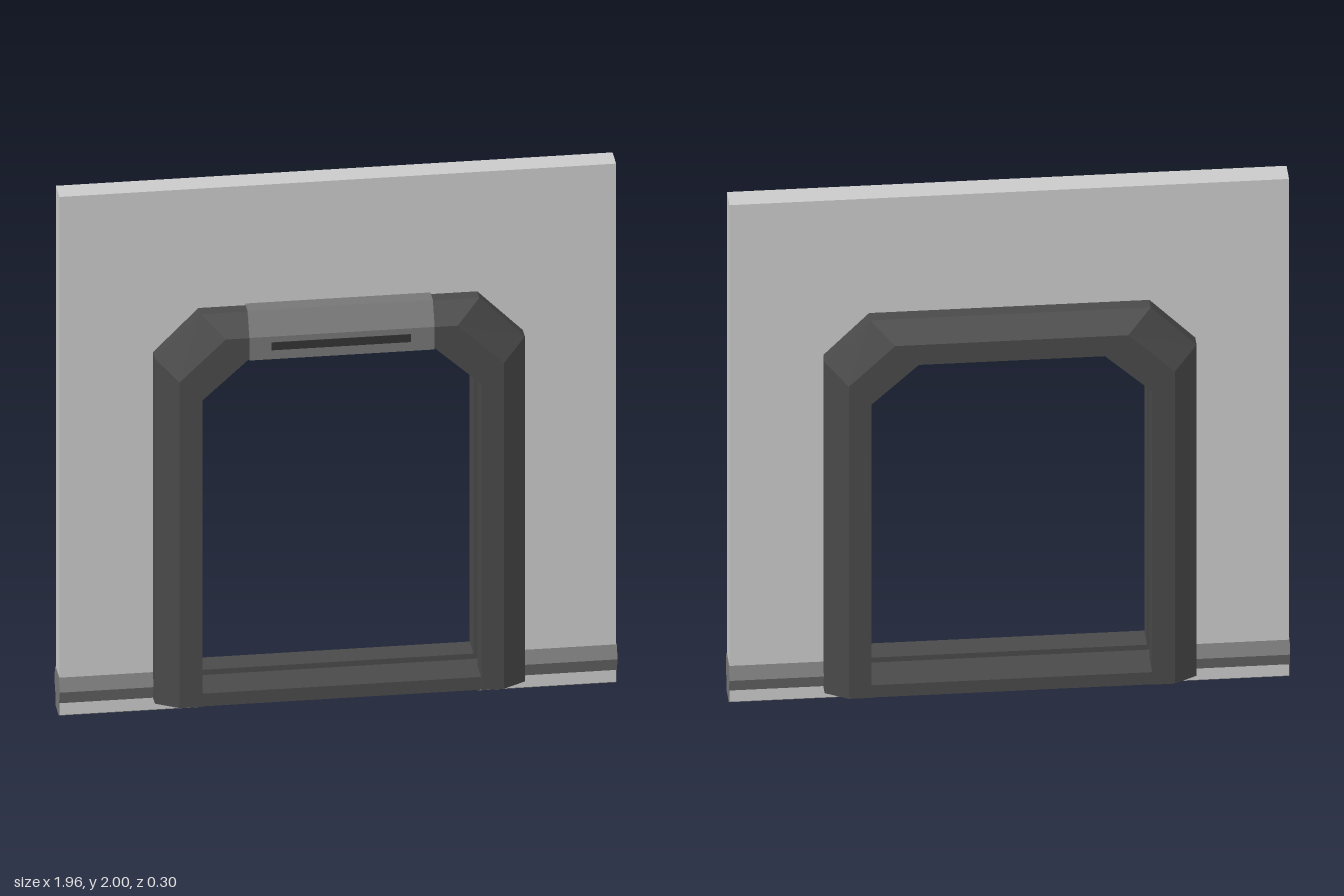
import * as THREE from 'three';

const mat = (color) => new THREE.MeshStandardMaterial({ color, flatShading: true });
const wallMat = mat(0xcccccc);
const frameMat = mat(0x4a4a4a);
const trimMat = mat(0x777777);
const slotMat = mat(0x333333);

const Z0 = -0.003; // middle of the wall's thickness

// Stations of the arch: inner and outer corner, from the left foot over the top to the right foot
const half = [
  { i: [0.49, 0.05], o: [0.65, 0.05] },
  { i: [0.49, 1.23], o: [0.65, 1.38] },
  { i: [0.325, 1.38], o: [0.49, 1.54] },
];
const mirrored = half.map(({ i, o }) => ({ i: [-i[0], i[1]], o: [-o[0], o[1]] })).reverse();
const stations = [...half, ...mirrored];

// Point on a station, t = 0 inside edge, t = 1 outside edge
const at = (s, t) => [s.i[0] + (s.o[0] - s.i[0]) * t, s.i[1] + (s.o[1] - s.i[1]) * t];

// Sweep a closed (t, z) profile through the stations
function sweepArch(profile) {
  const pos = [];
  const point = (s, [t, z]) => [...at(s, t), z + Z0];
  const tri = (a, b, c) => pos.push(...a, ...b, ...c);
  for (let k = 0; k < stations.length - 1; k++) {
    profile.forEach((p, j) => {
      const q = profile[(j + 1) % profile.length];
      const a = point(stations[k], p), b = point(stations[k + 1], p);
      const c = point(stations[k + 1], q), d = point(stations[k], q);
      tri(a, b, c);
      tri(a, c, d);
    });
  }
  const caps = THREE.ShapeUtils.triangulateShape(profile.map(([t, z]) => new THREE.Vector2(t, z)), []);
  const first = stations[0], last = stations[stations.length - 1];
  for (const [a, b, c] of caps) {
    tri(point(first, profile[a]), point(first, profile[b]), point(first, profile[c]));
    tri(point(last, profile[c]), point(last, profile[b]), point(last, profile[a]));
  }
  const geo = new THREE.BufferGeometry();
  geo.setAttribute('position', new THREE.Float32BufferAttribute(pos, 3));
  geo.computeVertexNormals();
  return geo;
}

const shapeOf = (pts) => new THREE.Shape(pts.map(([x, y]) => new THREE.Vector2(x, y)));

// Extrude a (z, y) profile along x from x0 to x1
function extrudeAlongX(pts, x0, x1) {
  const geo = new THREE.ExtrudeGeometry(shapeOf(pts.map(([z, y]) => [-z, y])), {
    depth: x1 - x0, bevelEnabled: false,
  });
  geo.rotateY(Math.PI / 2);
  geo.translate(x0, 0, 0);
  return geo;
}

export function createModel() {
  const group = new THREE.Group();
  const add = (name, geo, material) => {
    const mesh = new THREE.Mesh(geo, material);
    mesh.name = name;
    group.add(mesh);
    return mesh;
  };

  // Wall panel with the doorway cut out; its edge is buried in the frame
  const opening = stations.map((s) => at(s, 0.6));
  const wallGeo = new THREE.ExtrudeGeometry(shapeOf([
    [0.49, 0.003], [0.978, 0.003], [0.978, 2], [-0.978, 2], [-0.978, 0.003], [-0.49, 0.003],
    [-0.49, 0.055], ...opening.reverse(), [0.49, 0.055],
  ]), { depth: 0.092, bevelEnabled: false });
  wallGeo.translate(0, 0, Z0 - 0.046);
  add('wall', wallGeo, wallMat);

  // Door frame: chamfered outside, grooved inside
  add('doorFrame', sweepArch([
    [1, -0.098], [1, 0.098], [0.5, 0.146], [0, 0.146],
    [0, 0.046], [0.5, 0.046], [0.5, -0.046], [0, -0.046],
    [0, -0.146], [0.5, -0.146],
  ]), frameMat);

  // Threshold with a shallow track along its middle
  add('threshold', extrudeAlongX([
    [-0.148, 0.051], [0.142, 0.051], [0.142, 0.1], [0.043, 0.1], [0.043, 0.08],
    [-0.049, 0.08], [-0.049, 0.1], [-0.148, 0.1],
  ], -0.56, 0.56), frameMat);

  // Skirting on both sides of the doorway, with a foot below the wall
  const skirting = [
    [-0.052, 0.05], [0.046, 0.05], [0.066, 0.1], [0.043, 0.147],
    [-0.049, 0.147], [-0.072, 0.1],
  ];
  const foot = [[-0.047, 0], [0.041, 0], [0.041, 0.06], [-0.047, 0.06]];
  for (const side of [1, -1]) {
    const span = (x0, x1) => (side > 0 ? [x0, x1] : [-x1, -x0]);
    add('skirting', extrudeAlongX(skirting, ...span(0.58, 0.98)), trimMat);
    add('skirtingFoot', extrudeAlongX(foot, ...span(0.492, 0.98)), trimMat);
  }

  // Header panel over the front of the lintel
  add('headerPanel', extrudeAlongX([
    [0.046, 1.378], [0.152, 1.378], [0.152, 1.465], [0.108, 1.548], [0.046, 1.548],
  ], -0.325, 0.325), trimMat);

  // Dark slot in the header panel
  const slot = add('headerSlot', new THREE.BoxGeometry(0.49, 0.03, 0.01), slotMat);
  slot.position.set(-0.003, 1.428, 0.149);

  return group;
}
